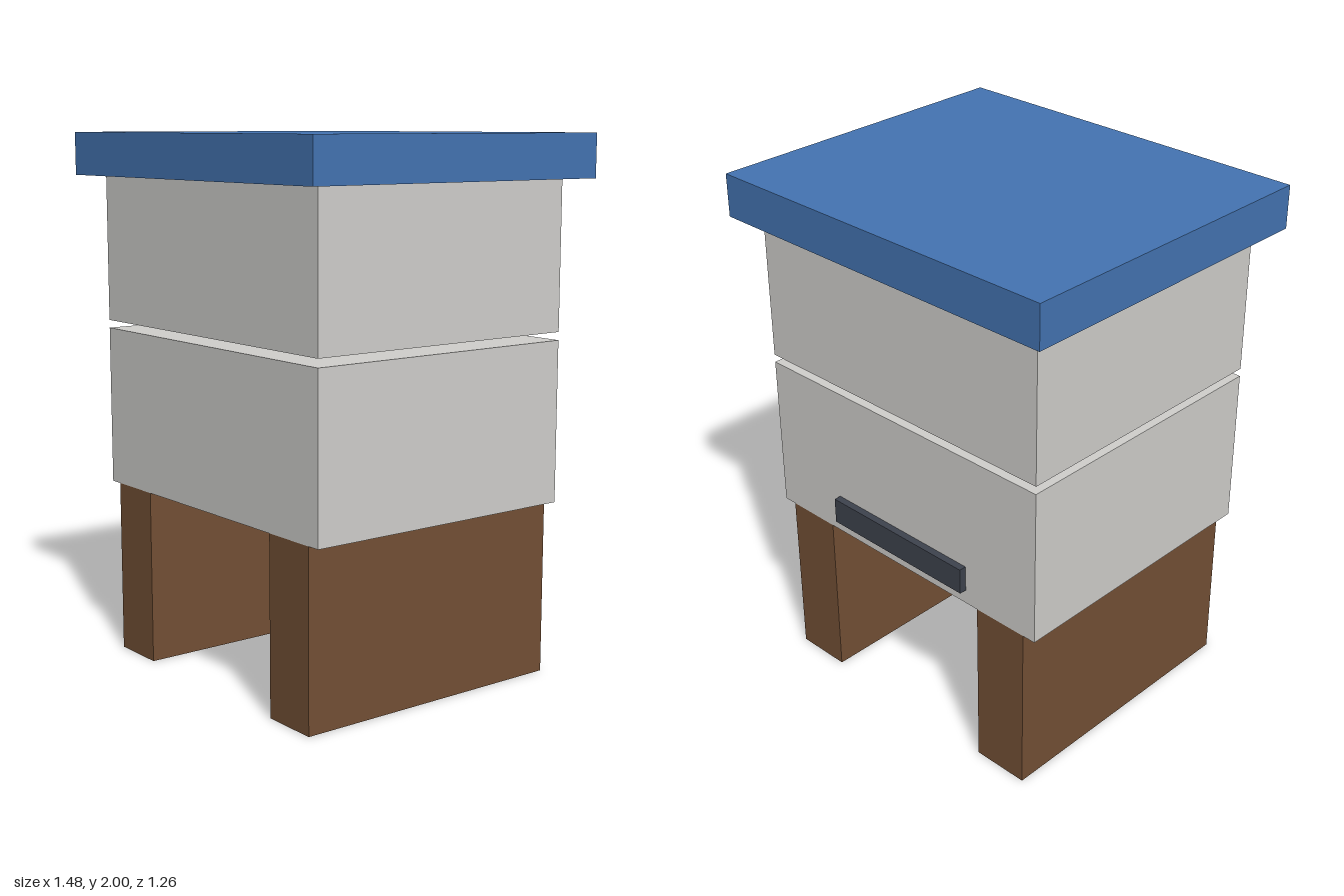
import * as THREE from 'three';

export function createModel() {
  const model = new THREE.Group();
  model.name = 'beehive';

  const material = (name, color) => {
    const m = new THREE.MeshStandardMaterial({ color });
    m.name = name;
    return m;
  };
  const blue = material('blue roof paint', 0x4474b2);
  const grey = material('pale grey paint', 0xd0cfcc);
  const brown = material('brown wood', 0x735035);
  const dark = material('dark slate', 0x3e434e);

  // Box given by its size, centre x, bottom y and centre z
  const addBox = (name, mat, [w, h, d], x, bottom, z = 0) => {
    const mesh = new THREE.Mesh(new THREE.BoxGeometry(w, h, d), mat);
    mesh.name = name;
    mesh.position.set(x, bottom + h / 2, z);
    model.add(mesh);
  };

  // Two support blocks running the full depth
  for (const [name, side] of [['leftSupport', 1], ['rightSupport', -1]]) {
    addBox(name, brown, [0.22, 0.66, 1.095], side * 0.492, 0);
  }

  // Stacked hive boxes with a narrow gap between them
  addBox('lowerBox', grey, [1.31, 0.6, 1.095], 0, 0.66);
  addBox('upperBox', grey, [1.31, 0.55, 1.095], 0, 1.29);

  // Overhanging flat roof
  addBox('roof', blue, [1.476, 0.16, 1.26], 0, 1.84);

  // Entrance slot on the back
  addBox('entrance', dark, [0.655, 0.1, 0.055], 0, 0.715, -0.5475);

  return model;
}
